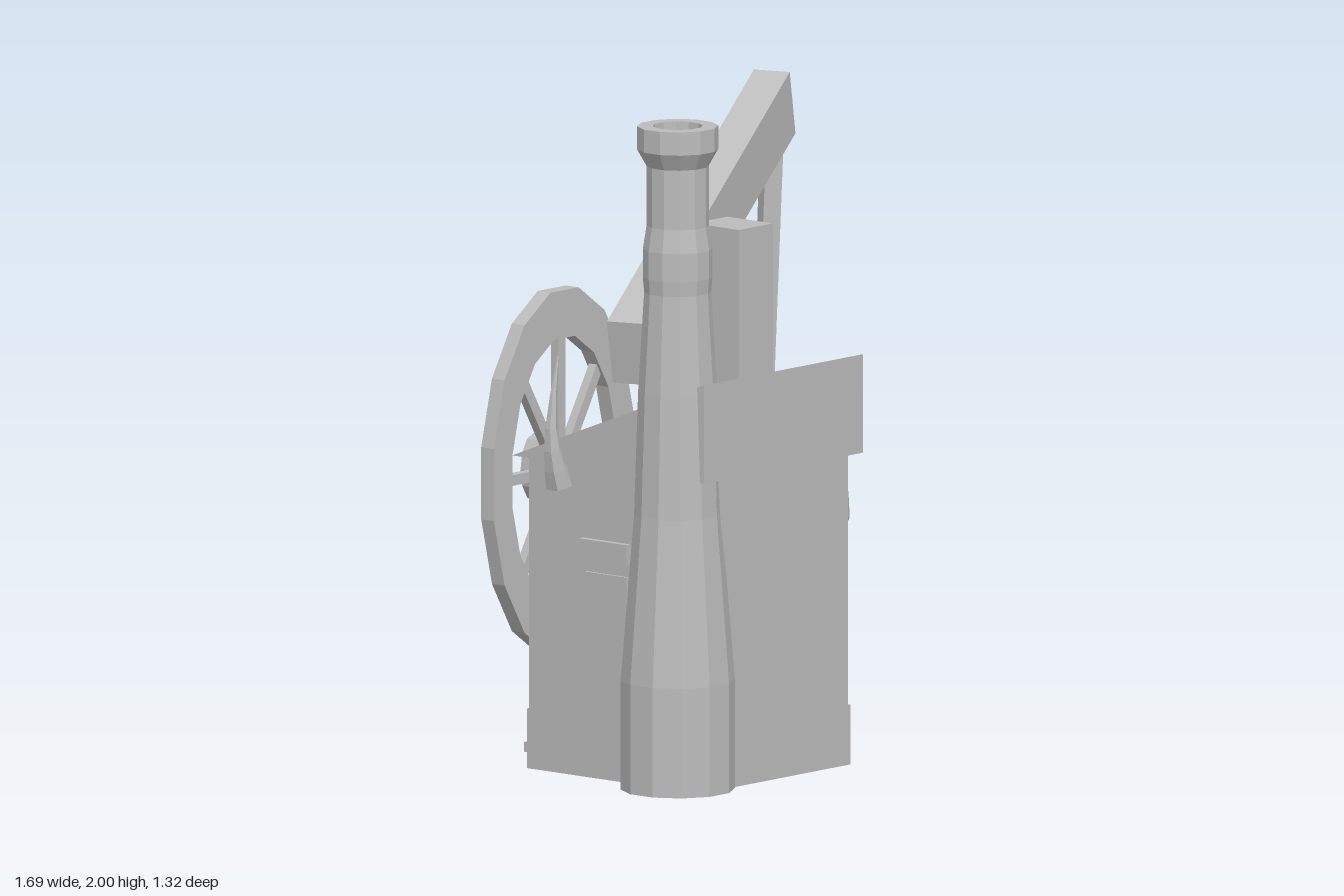
import * as THREE from 'three';

const grey = new THREE.MeshStandardMaterial({ color: 0xbcbcbc, flatShading: true, side: THREE.DoubleSide });
grey.name = 'plainGrey';
const V = (x, y, z) => new THREE.Vector3(x, y, z);

export function createModel() {
  const model = new THREE.Group();

  const add = (name, geometry, parent = model) => {
    const mesh = new THREE.Mesh(geometry, grey);
    mesh.name = name;
    parent.add(mesh);
    return mesh;
  };
  // Box given by its lower and upper corners
  const block = (name, x0, x1, y0, y1, z0, z1) => {
    const g = new THREE.BoxGeometry(x1 - x0, y1 - y0, z1 - z0);
    g.translate((x0 + x1) / 2, (y0 + y1) / 2, (z0 + z1) / 2);
    return add(name, g);
  };
  // Four walls without floor or ceiling
  const walls = (name, ...bounds) => {
    const { geometry } = block(name, ...bounds);
    const index = Array.from(geometry.index.array);
    index.splice(12, 12);
    geometry.setIndex(index);
    geometry.clearGroups();
  };
  // Straight bar from a to b, with cross-section edges up and side
  const bar = (name, a, b, up, side, parent) => {
    const g = new THREE.BoxGeometry(1, 1, 1);
    const p = g.attributes.position;
    for (let i = 0; i < p.count; i++) {
      const v = a.clone().lerp(b, p.getX(i) + 0.5)
        .addScaledVector(up, p.getY(i)).addScaledVector(side, p.getZ(i));
      p.setXYZ(i, v.x, v.y, v.z);
    }
    g.computeVertexNormals();
    return add(name, g, parent);
  };
  // Curved spike that tapers along a path in the xy plane
  const horn = (name, points, z, r) => {
    const curve = new THREE.CatmullRomCurve3(points.map(([x, y]) => V(x, y, z)));
    const g = new THREE.CylinderGeometry(0.002, r, 1, 6, 5);
    const p = g.attributes.position;
    for (let i = 0; i < p.count; i++) {
      const t = p.getY(i) + 0.5;
      const c = curve.getPoint(t), d = curve.getTangent(t);
      p.setXYZ(i, c.x + d.y * p.getX(i), c.y - d.x * p.getX(i), z + p.getZ(i));
    }
    g.computeVertexNormals();
    return add(name, g);
  };
  const lathe = (name, profile, x, z) => {
    const pts = profile.map(([r, y]) => new THREE.Vector2(r, y));
    const mesh = add(name, new THREE.LatheGeometry(pts, 12, Math.PI / 12));
    mesh.position.set(x, 0, z);
    return mesh;
  };

  // House body and plinth, open below, and sloping roof
  walls('houseBody', -0.70, -0.03, 0, 0.95, -0.075, 0.598);
  walls('plinth', -0.705, -0.025, 0, 0.18, -0.08, 0.603);
  const slope = new THREE.Shape([
    new THREE.Vector2(-0.125, 0.94), new THREE.Vector2(0.63, 0.94), new THREE.Vector2(0.63, 1.237)]);
  const roof = new THREE.ExtrudeGeometry(slope, { depth: 0.72, bevelEnabled: false });
  roof.rotateY(-Math.PI / 2);
  add('roof', roof);

  // Windows with lintels on both sides
  for (const s of [1, -1]) {
    const wall = s > 0 ? -0.03 : -0.70;
    const out = (name, d, y0, y1, z0, z1) =>
      block(name, Math.min(wall, wall + s * d), Math.max(wall, wall + s * d), y0, y1, z0, z1);
    out('window', 0.009, 0.24, 0.62, 0.15, 0.315);
    out('lintel', 0.02, 0.66, 0.72, 0.137, 0.325);
  }

  // Back door with frame, knob and step
  block('door', -0.53, -0.24, 0.04, 0.78, -0.09, -0.07);
  block('doorPost', -0.56, -0.52, 0.0, 0.80, -0.112, -0.07);
  block('doorPost', -0.25, -0.21, 0.0, 0.80, -0.112, -0.07);
  block('doorHead', -0.52, -0.25, 0.76, 0.80, -0.112, -0.07);
  block('doorKnob', -0.30, -0.27, 0.23, 0.29, -0.11, -0.08);
  block('stepPlank', -0.56, -0.20, 0.015, 0.045, -0.148, -0.075);
  block('stepPlank', -0.56, -0.20, 0.015, 0.045, -0.217, -0.152);
  for (const x of [-0.52, -0.27]) block('stepSupport', x, x + 0.03, 0, 0.02, -0.2, -0.08);

  // Chimney with flared base and hollow cap
  lathe('chimney', [
    [0.17, 0], [0.17, 0.33], [0.13, 0.83], [0.118, 1.2], [0.1, 1.5],
    [0.104, 1.545], [0.104, 1.63], [0.093, 1.7], [0.093, 1.88], [0.121, 1.93],
    [0.121, 2], [0.075, 2], [0.066, 1.8], [0, 1.8]], -0.683, 0.495);

  // Oval wheel on the back: rim, spokes and hub
  const wheel = new THREE.Group();
  wheel.name = 'wheel';
  wheel.position.set(-0.5, 0.865, -0.135);
  model.add(wheel);
  const stretch = 1.71;
  const oval = (r) => Array.from({ length: 16 }, (_, i) => {
    const a = (i + 0.5) * Math.PI / 8;
    return new THREE.Vector2(r * Math.cos(a), r * stretch * Math.sin(a));
  });
  const rim = new THREE.Shape(oval(0.326));
  rim.holes.push(new THREE.Path(oval(0.24)));
  const rimGeo = new THREE.ExtrudeGeometry(rim, { depth: 0.05, bevelEnabled: false });
  rimGeo.translate(0, 0, -0.025);
  add('wheelRim', rimGeo, wheel);
  for (let i = 0; i < 4; i++) {
    const a = i * Math.PI / 4;
    const tip = V(0.26 * Math.cos(a), 0.26 * stretch * Math.sin(a), 0);
    const up = V(-tip.y, tip.x, 0).setLength(0.032);
    bar('wheelSpoke', tip.clone().negate(), tip, up, V(0, 0, 0.03), wheel);
  }
  const hub = new THREE.CylinderGeometry(0.06, 0.06, 0.12, 12);
  hub.rotateX(Math.PI / 2).scale(1, stretch, 1).translate(0, 0, -0.036);
  add('wheelHub', hub, wheel);

  // Crane: post, slanted beam and hanging rod
  block('cranePost', -0.17, -0.016, 0.77, 1.595, 0.11, 0.29);
  bar('craneBeam', V(-0.547, 1.26, 0.18), V(0.515, 1.842, -0.165),
    V(-0.035, 0.19, 0.008), V(0.036, 0, 0.11));
  bar('craneRod', V(0.479, 0.57, -0.202), V(0.512, 1.825, -0.168),
    V(-0.025, 0, 0.045), V(0.05, 0, 0.025));

  // Plank leaning on the wall
  bar('leaningPlank', V(0.013, 0.055, 0.407), V(-0.018, 0.92, 0.445),
    V(-0.03, 0, 0.045), V(0.036, 0, 0.028));

  // Bucket, open below its inner floor
  lathe('bucket', [
    [0.285, 0], [0.352, 0.095], [0.328, 0.495], [0.37, 0.575], [0.366, 0.655],
    [0.281, 0.655], [0.254, 0.44], [0, 0.44]], 0.449, -0.301);

  // Curved spikes on the sides of the bucket and the house
  for (const s of [1, -1]) {
    const side = (cx, list) => list.map(([x, y]) => [cx + s * x, y]);
    horn('bucketHorn', side(0.447, [[0.325, 0.335], [0.365, 0.4], [0.383, 0.49], [0.352, 0.63]]), -0.262, 0.037);
    horn('houseHorn', side(-0.362, [[0.345, 0.87], [0.375, 0.96], [0.385, 1.07], [0.355, 1.26]]), 0.053, 0.045);
  }

  return model;
}
